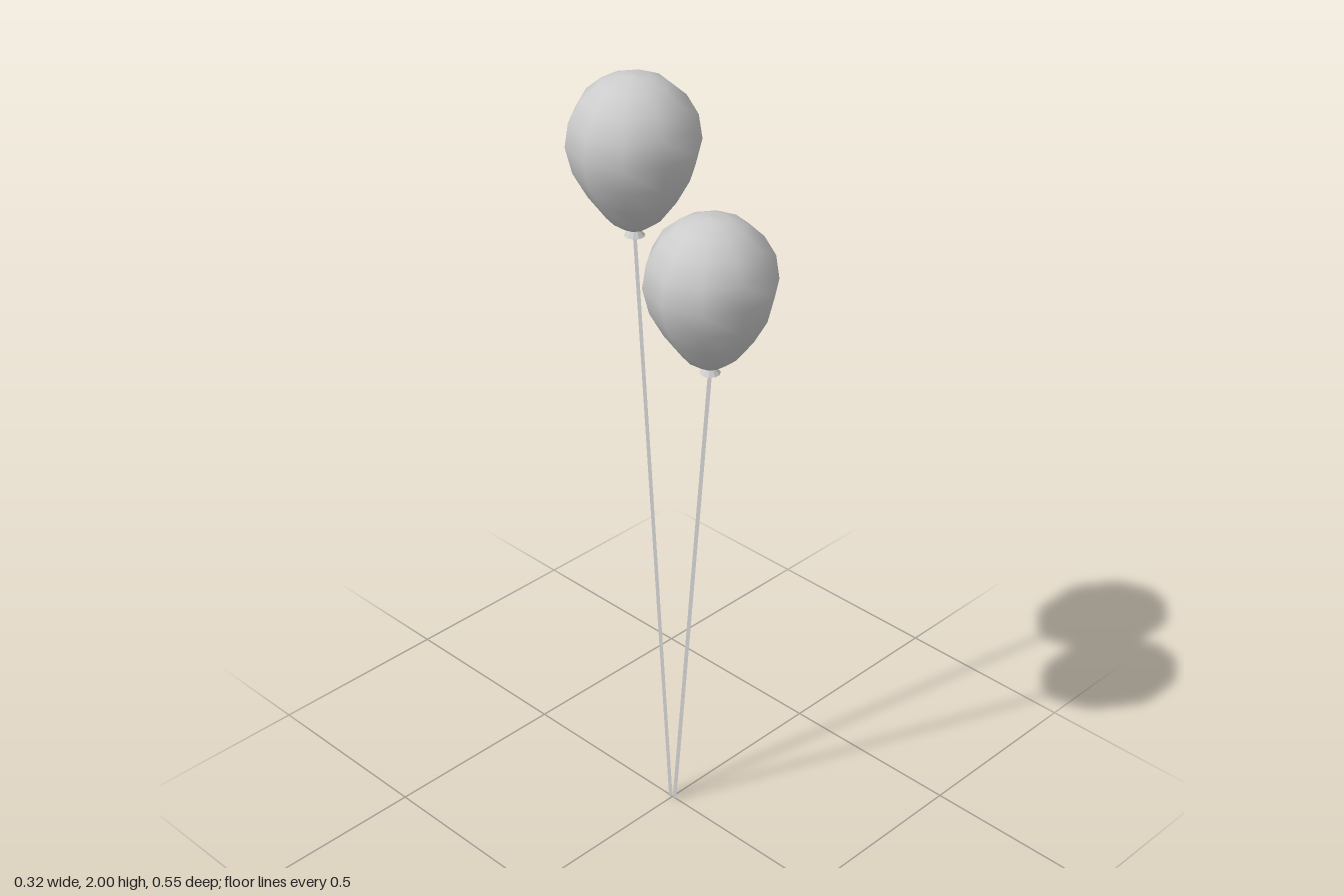
import * as THREE from 'three';

const SIDES = 10;
const material = new THREE.MeshStandardMaterial({ color: 0xcccccc });
const flatMaterial = new THREE.MeshStandardMaterial({ color: 0xcccccc, flatShading: true, side: THREE.DoubleSide });

// Profiles as [radius, height]; height 0 is the neck of the balloon
const bodyProfile = [
  [0.006, 0], [0.03, 0.006], [0.066, 0.032], [0.109, 0.09], [0.142, 0.15],
  [0.158, 0.215], [0.149, 0.275], [0.121, 0.325], [0.08, 0.36], [0.04, 0.376], [0, 0.38],
];
const knotProfile = [[0, -0.012], [0.02, -0.018], [0.025, -0.016], [0.008, 0.004]];

function lathe(profile, mat, name) {
  const points = profile.map(([r, y]) => new THREE.Vector2(r, y));
  const mesh = new THREE.Mesh(new THREE.LatheGeometry(points, SIDES, Math.PI / 2), mat);
  mesh.name = name;
  return mesh;
}

// Flat ribbon string lying in the x = 0 plane, from the ground to the knot
function ribbon(z0, z1, height) {
  const w = 0.0065;
  const geometry = new THREE.BufferGeometry();
  geometry.setAttribute('position', new THREE.Float32BufferAttribute([
    0, 0, z0 + w, 0, 0, z0 - w, 0, height, z1 - w, 0, height, z1 + w,
  ], 3));
  geometry.setIndex([0, 1, 2, 0, 2, 3]);
  geometry.computeVertexNormals();
  const mesh = new THREE.Mesh(geometry, flatMaterial);
  mesh.name = 'string';
  return mesh;
}

function balloon(name, z, neckY) {
  const group = new THREE.Group();
  group.name = name;
  const body = lathe(bodyProfile, material, 'balloonBody');
  const knot = lathe(knotProfile, flatMaterial, 'knot');
  for (const part of [body, knot]) part.position.set(0, neckY, z);
  group.add(body, knot, ribbon(Math.sign(z) * 0.007, z, neckY - 0.01));
  return group;
}

export function createModel() {
  const model = new THREE.Group();
  model.name = 'balloons';
  model.add(balloon('frontBalloon', 0.122, 1.352), balloon('backBalloon', -0.124, 1.62));
  return model;
}
